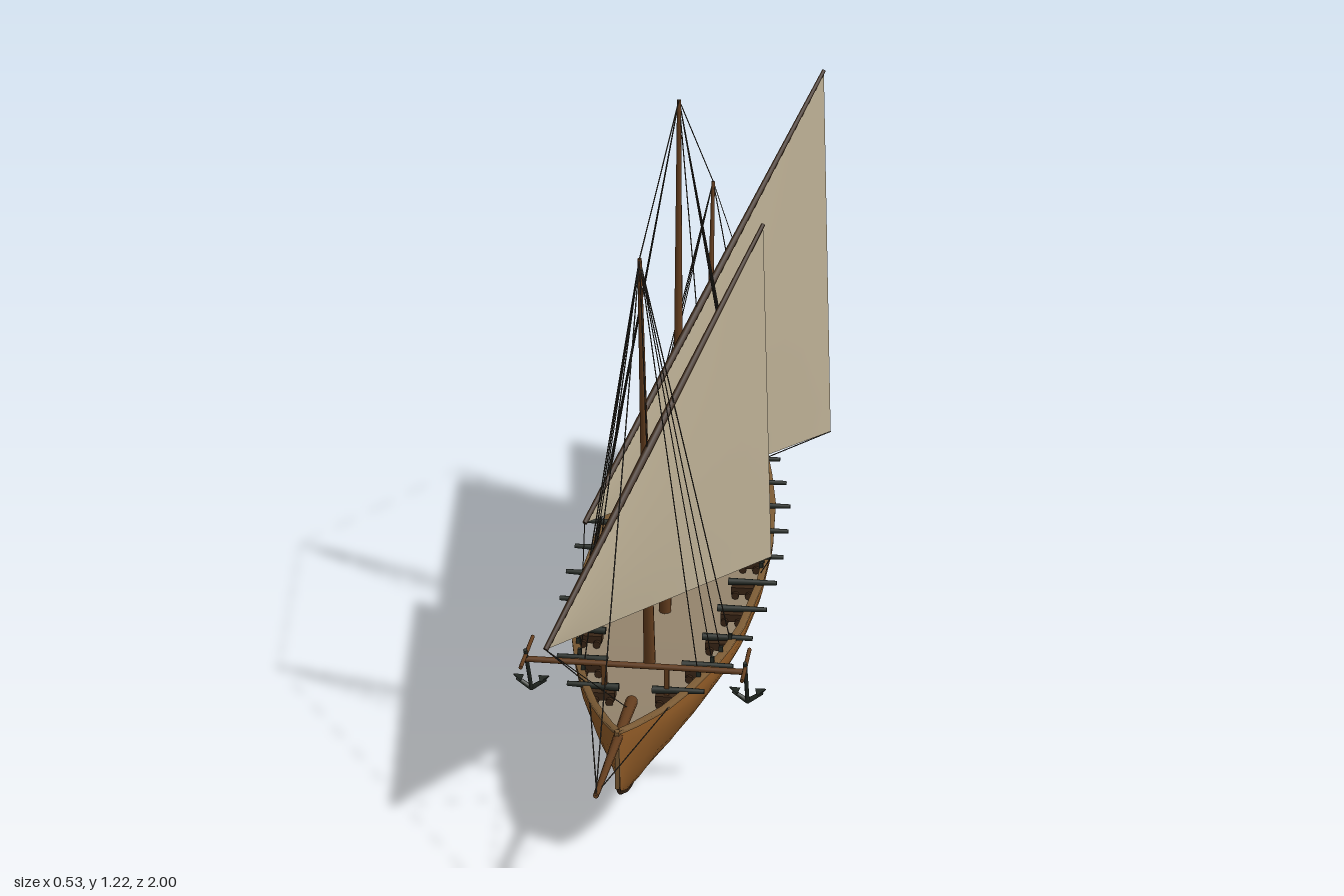
import * as THREE from 'three';

const V = (x, y, z) => new THREE.Vector3(x, y, z);
const material = (name, color, side = THREE.FrontSide) => {
  const m = new THREE.MeshStandardMaterial({ color, side });
  m.name = name;
  return m;
};

// Hull stations: z, half breadth, keel height, sheer height
const STATIONS = [
  [0.75, 0.003, 0.155, 0.27], [0.73, 0.014, 0.132, 0.266], [0.7, 0.03, 0.115, 0.261],
  [0.65, 0.052, 0.09, 0.253], [0.6, 0.074, 0.072, 0.246], [0.5, 0.108, 0.05, 0.237],
  [0.4, 0.136, 0.036, 0.231], [0.3, 0.158, 0.025, 0.227], [0.2, 0.174, 0.016, 0.224],
  [0.0, 0.189, 0.006, 0.221], [-0.2, 0.19, 0.003, 0.22], [-0.4, 0.176, 0.007, 0.222],
  [-0.55, 0.153, 0.017, 0.225], [-0.63, 0.138, 0.027, 0.227], [-0.66, 0.13, 0.031, 0.24],
  [-0.69, 0.122, 0.036, 0.26], [-0.75, 0.104, 0.046, 0.266], [-0.82, 0.079, 0.061, 0.274],
  [-0.88, 0.052, 0.08, 0.281], [-0.92, 0.029, 0.096, 0.285], [-0.95, 0.003, 0.112, 0.287],
];
// Section shape: height fraction, breadth fraction
const SECTION = [[0, 0], [0.07, 0.14], [0.15, 0.28], [0.25, 0.43], [0.35, 0.57], [0.47, 0.71],
  [0.6, 0.83], [0.7, 0.91], [0.8, 0.97], [0.9, 1], [1, 0.985]];

function hullAt(z) {
  let i = 0;
  while (i < STATIONS.length - 2 && STATIONS[i + 1][0] > z) i++;
  const a = STATIONS[i], b = STATIONS[i + 1], t = (a[0] - z) / (a[0] - b[0]);
  return { b: a[1] + (b[1] - a[1]) * t, s: a[3] + (b[3] - a[3]) * t };
}
const deckY = (z) => (z < -0.66 ? 0.225 : Math.max(0.195, hullAt(z).s - 0.032));

// Smooth surface through equally long rows of points
function grid(rows) {
  const n = rows[0].length, pos = [], idx = [];
  rows.forEach((row) => row.forEach((p) => pos.push(p.x, p.y, p.z)));
  for (let i = 0; i < rows.length - 1; i++) {
    for (let j = 0; j < n - 1; j++) {
      const a = i * n + j, b = a + n;
      idx.push(a, b, a + 1, b, b + 1, a + 1);
    }
  }
  const g = new THREE.BufferGeometry();
  g.setAttribute('position', new THREE.Float32BufferAttribute(pos, 3));
  g.setIndex(idx);
  g.computeVertexNormals();
  return g;
}

export function createModel() {
  const root = new THREE.Group();
  root.name = 'sailingShip';
  const ship = new THREE.Group();
  ship.name = 'ship';
  ship.position.x = -0.02;
  root.add(ship);

  const hullMat = material('hullWood', 0x8f5a26, THREE.DoubleSide);
  const railMat = material('railWood', 0x7a5a34, THREE.DoubleSide);
  const deckMat = material('deckPlanks', 0x93836c, THREE.DoubleSide);
  const sailMat = material('sailCloth', 0xbdb095, THREE.DoubleSide);
  const mastMat = material('mastWood', 0x633d1e);
  const darkMat = material('darkWood', 0x3a2616);
  const ironMat = material('iron', 0x252b25);
  const ropeMat = material('rope', 0x3b362e);

  const add = (name, geo, mat, parent = ship) => {
    const m = new THREE.Mesh(geo, mat);
    m.name = name;
    parent.add(m);
    return m;
  };
  const box = (name, w, h, d, x, y, z, mat, parent) => {
    const m = add(name, new THREE.BoxGeometry(w, h, d), mat, parent);
    m.position.set(x, y, z);
    return m;
  };
  const rod = (name, a, b, r1, r2, mat, parent, sides = 10) => {
    const d = b.clone().sub(a);
    const m = add(name, new THREE.CylinderGeometry(r2, r1, d.length(), sides), mat, parent);
    m.position.copy(a).addScaledVector(d, 0.5);
    m.quaternion.setFromUnitVectors(V(0, 1, 0), d.normalize());
    return m;
  };
  const rope = (a, b) => rod('rope', a, b, 0.0012, 0.0012, ropeMat, ship, 4);

  // Hull sides, bulwarks and cap rails
  const inner = (b) => Math.max(b - 0.013, 0.001);
  for (const s of [-1, 1]) {
    add('hullSide', grid(STATIONS.map(([z, b, k, h]) =>
      SECTION.map(([u, w]) => V(s * b * w, k + (h - k) * u, z)))), hullMat);
    add('capRail', grid(STATIONS.map(([z, b, , h]) =>
      [V(s * (b + 0.002), h - 0.004, z), V(s * (b + 0.002), h + 0.002, z),
        V(s * inner(b), h + 0.002, z)])), railMat);
    add('bulwark', grid(STATIONS.map(([z, b, , h]) =>
      [V(s * inner(b), h + 0.002, z), V(s * inner(b), deckY(z) - 0.005, z)])), hullMat);
  }
  add('deck', grid(STATIONS.map(([z, b]) =>
    [-1, -0.5, 0, 0.5, 1].map((u) => V(u * inner(b), deckY(z), z)))), deckMat);

  // Keel, stem and stern posts, rudder
  STATIONS.slice(1).forEach(([z, , k], i) => {
    const [z0, , k0] = STATIONS[i];
    rod('keel', V(0, k0 + 0.001, z0), V(0, k + 0.001, z), 0.004, 0.004, darkMat, ship, 6);
  });
  box('stem', 0.008, 0.118, 0.012, 0, 0.213, 0.75, railMat);
  box('sternPost', 0.009, 0.175, 0.01, 0, 0.2, -0.952, darkMat);
  box('rudder', 0.008, 0.085, 0.045, 0, 0.075, -0.977, mastMat);

  // Masts with shrouds and deadeyes
  const masts = [
    { base: V(0, 0.19, 0.327), top: V(0, 1.075, 0.435), r: 0.012, feet: [0.45, 0.38, 0.33, 0.27] },
    { base: V(0, 0.19, -0.1), top: V(0, 1.215, -0.12), r: 0.014, feet: [-0.075, -0.1, -0.125, -0.15] },
    { base: V(0, 0.2, -0.61), top: V(0, 0.86, -0.705), r: 0.01, feet: [-0.53, -0.57, -0.61] },
  ];
  for (const { base, top, r, feet } of masts) {
    rod('mast', base, top, r, 0.004, mastMat);
    for (const z of feet) {
      const { b, s: h } = hullAt(z);
      for (const s of [-1, 1]) {
        rope(top, V(s * (b - 0.01), h, z));
        box('deadeye', 0.008, 0.014, 0.008, s * (b - 0.01), h + 0.006, z, ironMat);
      }
    }
  }

  // Lateen sails and yards: tack, peak, clew
  const sails = [
    [V(-0.13, 0.43, 0.75), V(0.19, 1.03, 0.08), V(0.21, 0.298, 0.03)],
    [V(-0.135, 0.465, 0.275), V(0.253, 1.165, -0.55), V(0.28, 0.313, -0.61)],
    [V(0.0, 0.39, -0.46), V(0.222, 0.822, -0.93), V(0.228, 0.275, -0.96)],
  ];
  for (const [tack, peak, clew] of sails) {
    const rows = [];
    for (let i = 0; i <= 12; i++) {
      const u = i / 12, a = tack.clone().lerp(peak, u), b = tack.clone().lerp(clew, u), row = [];
      for (let j = 0; j <= 12; j++) {
        const v = j / 12, p = a.clone().lerp(b, v);
        p.x += 0.09 * u * (1 - u) * v * (1 - v) * 4 * 0.25;
        row.push(p);
      }
      rows.push(row);
    }
    add('sail', grid(rows), sailMat);
    const mid = tack.clone().lerp(peak, 0.45);
    rod('lowerYard', tack, mid, 0.005, 0.008, darkMat);
    rod('upperYard', mid, peak, 0.008, 0.004, darkMat);
  }

  // Stays, halyards, tacks and sheets
  const tops = masts.map((m) => m.top);
  rope(V(0, 0.282, 1.0), tops[0]);
  rope(tops[0], tops[1]);
  rope(tops[1], tops[2]);
  sails.forEach(([tack, peak], i) => rope(tops[i], tack.clone().lerp(peak, 0.45)));
  rope(sails[0][0], V(0, 0.25, 0.62));
  rope(sails[0][0], V(-0.1, 0.235, 0.5));
  rope(sails[1][0], V(-0.15, 0.22, 0.25));
  rope(sails[2][0], V(0, 0.2, -0.46));
  rope(sails[0][2], V(0.18, 0.22, -0.05));
  rope(sails[1][2], V(0.13, 0.23, -0.63));
  rope(sails[2][2], V(0, 0.285, -0.94));

  // Bowsprit
  rod('bowsprit', V(0, 0.238, 0.57), V(0, 0.281, 1.0), 0.012, 0.005, mastMat);
  for (const s of [-1, 1]) rope(V(0, 0.281, 0.99), V(s * 0.075, 0.247, 0.6));

  // Anchor beam with an anchor at each end
  rod('anchorBeam', V(-0.212, 0.288, 0.52), V(0.212, 0.288, 0.52), 0.006, 0.006, mastMat);
  for (const s of [-1, 1]) {
    box('beamPost', 0.01, 0.07, 0.01, s * 0.06, 0.255, 0.52, mastMat);
    const anchor = new THREE.Group();
    anchor.name = 'anchor';
    anchor.position.x = s * 0.21;
    ship.add(anchor);
    rod('stock', V(0, 0.3, 0.45), V(0, 0.3, 0.58), 0.004, 0.004, mastMat, anchor, 8);
    rod('shank', V(0, 0.312, 0.53), V(0, 0.2, 0.475), 0.004, 0.004, ironMat, anchor, 8);
    for (const t of [-1, 1]) {
      rod('arm', V(0, 0.202, 0.475), V(t * 0.028, 0.222, 0.475), 0.005, 0.004, ironMat, anchor, 6);
      rod('fluke', V(t * 0.018, 0.222, 0.475), V(t * 0.035, 0.23, 0.475), 0.009, 0.001, ironMat, anchor, 4);
    }
  }

  // Guns: z, distance of the carriage from the centre line
  const guns = [[-0.63, 0.095], [-0.5, 0.122], [-0.375, 0.142], [-0.245, 0.15], [-0.115, 0.152],
    [0.01, 0.15], [0.135, 0.142], [0.265, 0.127], [0.395, 0.103], [0.52, 0.062]];
  for (const [z, x] of guns) {
    for (const s of [-1, 1]) {
      const gun = new THREE.Group();
      gun.name = 'gun';
      gun.position.set(s * x, deckY(z), z);
      gun.scale.x = s > 0 ? 1 : -1;
      ship.add(gun);
      box('carriage', 0.046, 0.016, 0.024, 0, 0.016, 0, darkMat, gun);
      for (const wx of [-0.014, 0.014]) {
        rod('wheels', V(wx, 0.008, -0.019), V(wx, 0.008, 0.019), 0.008, 0.008, darkMat, gun, 8);
      }
      rod('barrel', V(-0.03, 0.032, 0), V(0.07, 0.034, 0), 0.008, 0.005, ironMat, gun, 8);
    }
  }

  // Capstan, bitts and steering wheel
  rod('capstan', V(0, 0.19, 0.1), V(0, 0.238, 0.1), 0.012, 0.014, mastMat);
  box('bitts', 0.02, 0.04, 0.02, 0, 0.215, -0.13, darkMat);
  const wheel = add('steeringWheel', new THREE.TorusGeometry(0.026, 0.002, 6, 20), darkMat);
  wheel.position.set(0, 0.31, -0.78);
  for (let i = 0; i < 4; i++) {
    const a = (i * Math.PI) / 4, d = V(Math.cos(a) * 0.033, Math.sin(a) * 0.033, 0);
    rod('spokes', wheel.position.clone().sub(d), wheel.position.clone().add(d), 0.001, 0.001, darkMat, ship, 5);
  }
  box('wheelStand', 0.012, 0.085, 0.012, 0, 0.267, -0.79, darkMat);
  return root;
}
